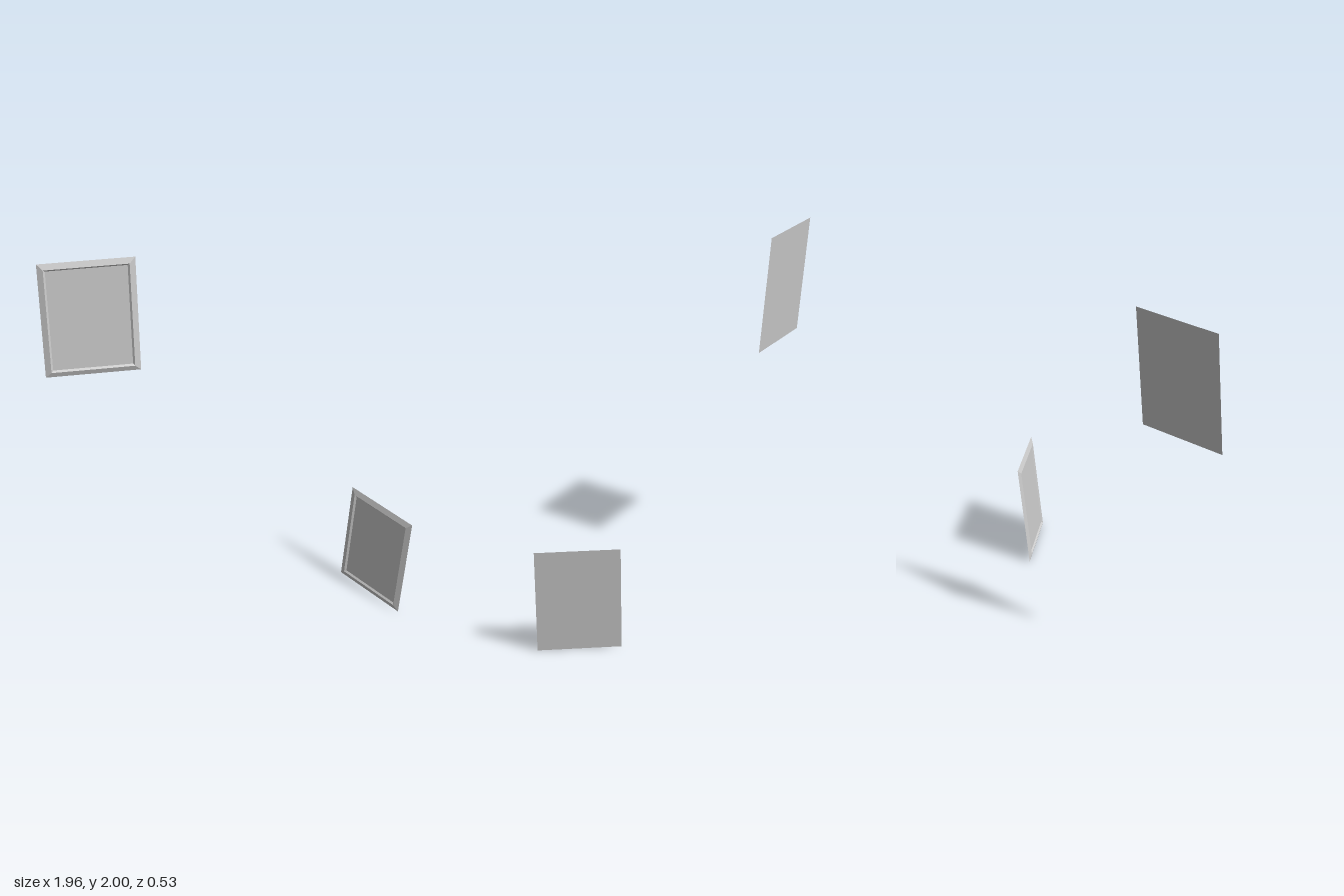
import * as THREE from 'three';

const material = new THREE.MeshStandardMaterial({ color: 0xcccccc, flatShading: true });

// Mitred moulding: rectangles of given [inset, depth] joined by flat quads
function mouldingGeometry(w, h, profile) {
  const corner = ([inset, z], i) => [
    (i === 1 || i === 2 ? 1 : -1) * (w / 2 - inset),
    (i >= 2 ? 1 : -1) * (h / 2 - inset),
    z,
  ];
  const pos = [];
  for (let r = 0; r < profile.length - 1; r++) {
    for (let i = 0; i < 4; i++) {
      const j = (i + 1) % 4;
      const a = corner(profile[r], i), b = corner(profile[r], j);
      const c = corner(profile[r + 1], j), d = corner(profile[r + 1], i);
      pos.push(...a, ...b, ...c, ...a, ...c, ...d);
    }
  }
  const geo = new THREE.BufferGeometry();
  geo.setAttribute('position', new THREE.Float32BufferAttribute(pos, 3));
  geo.computeVertexNormals();
  return geo;
}

function createPictureFrame(name, w, h) {
  const group = new THREE.Group();
  group.name = name;
  const add = (part, geo, z = 0) => {
    const mesh = new THREE.Mesh(geo, material);
    mesh.name = part;
    mesh.position.z = z;
    group.add(mesh);
    return mesh;
  };

  // Sloping outer face, ridge, then a short step down to the picture
  const inset = 0.041, panelZ = 0.004;
  add('moulding', mouldingGeometry(w, h, [[0, 0], [0.031, 0.012], [inset, panelZ]]));
  add('picturePanel', new THREE.PlaneGeometry(w - 2 * inset, h - 2 * inset), panelZ);

  // Flat back
  add('backPanel', new THREE.PlaneGeometry(w, h)).rotation.y = Math.PI;
  return group;
}

export function createModel() {
  const model = new THREE.Group();
  model.name = 'pictureFrames';
  const frames = [
    { name: 'upperFrame', size: [0.5, 0.653], at: [-0.75, 1.675, 0.125], turn: 0.468 },
    { name: 'lowerFrame', size: [0.442, 0.598], at: [0.77, 0.298, -0.126], turn: -0.512 },
  ];
  for (const f of frames) {
    const frame = createPictureFrame(f.name, ...f.size);
    frame.position.set(...f.at);
    // Turned towards the middle and leaning back slightly
    frame.rotation.set(-0.097, f.turn, 0, 'YXZ');
    model.add(frame);
  }
  return model;
}
